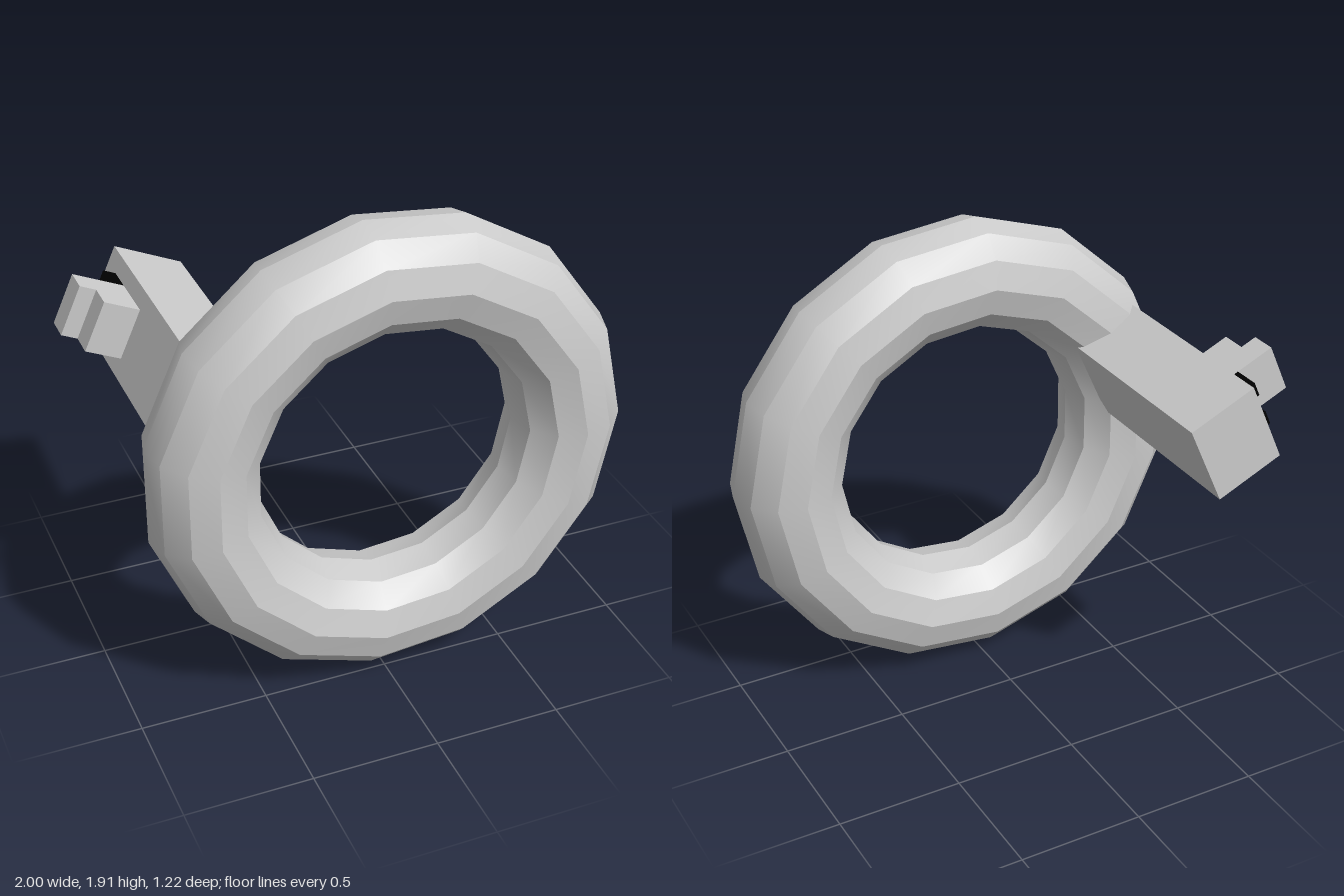
import * as THREE from 'three';
import { toCreasedNormals } from 'three/addons/utils/BufferGeometryUtils.js';

export function createModel() {
  const model = new THREE.Group();
  model.name = 'ringWithHandle';
  const grey = new THREE.MeshStandardMaterial({ color: 0xcccccc });
  const black = new THREE.MeshStandardMaterial({ color: 0x000000 });

  // Faceted ring: bands stay sharp around the tube, smooth along it
  const ringGeometry = toCreasedNormals(
    new THREE.TorusGeometry(0.739, 0.219, 12, 15),
    THREE.MathUtils.degToRad(27)
  );
  const ring = new THREE.Mesh(ringGeometry, grey);
  ring.name = 'ring';
  ring.position.set(0.042, 0.953, 0.385);
  ring.rotation.y = -0.01;
  model.add(ring);

  // Handle assembly, tilted to point outward from the ring
  const assembly = new THREE.Group();
  assembly.name = 'handleAssembly';
  assembly.position.set(-0.625, 1.24, 0);
  assembly.rotation.z = -0.423;
  model.add(assembly);

  // Box given by its [min, max] range on each axis
  function addBox(name, [x0, x1], [y0, y1], [z0, z1], material = grey) {
    const mesh = new THREE.Mesh(new THREE.BoxGeometry(x1 - x0, y1 - y0, z1 - z0), material);
    mesh.name = name;
    mesh.position.set((x0 + x1) / 2, (y0 + y1) / 2, (z0 + z1) / 2);
    assembly.add(mesh);
  }

  const face = -0.146; // outer face of the handle
  addBox('handle', [face, 0.146], [-0.176, 0.176], [-0.61, 0.3]);

  // Stepped block on the outer face
  addBox('tallStep', [face - 0.216, face], [-0.105, 0.105], [-0.4, -0.295]);
  addBox('lowStep', [face - 0.148, face], [-0.105, 0.105], [-0.295, -0.19]);

  // Pair of black prongs behind the block
  for (const side of [-1, 1]) {
    const y = side * 0.074;
    addBox(side > 0 ? 'upperProng' : 'lowerProng',
      [face - 0.053, face], [y - 0.031, y + 0.031], [-0.51, -0.4], black);
  }

  return model;
}
